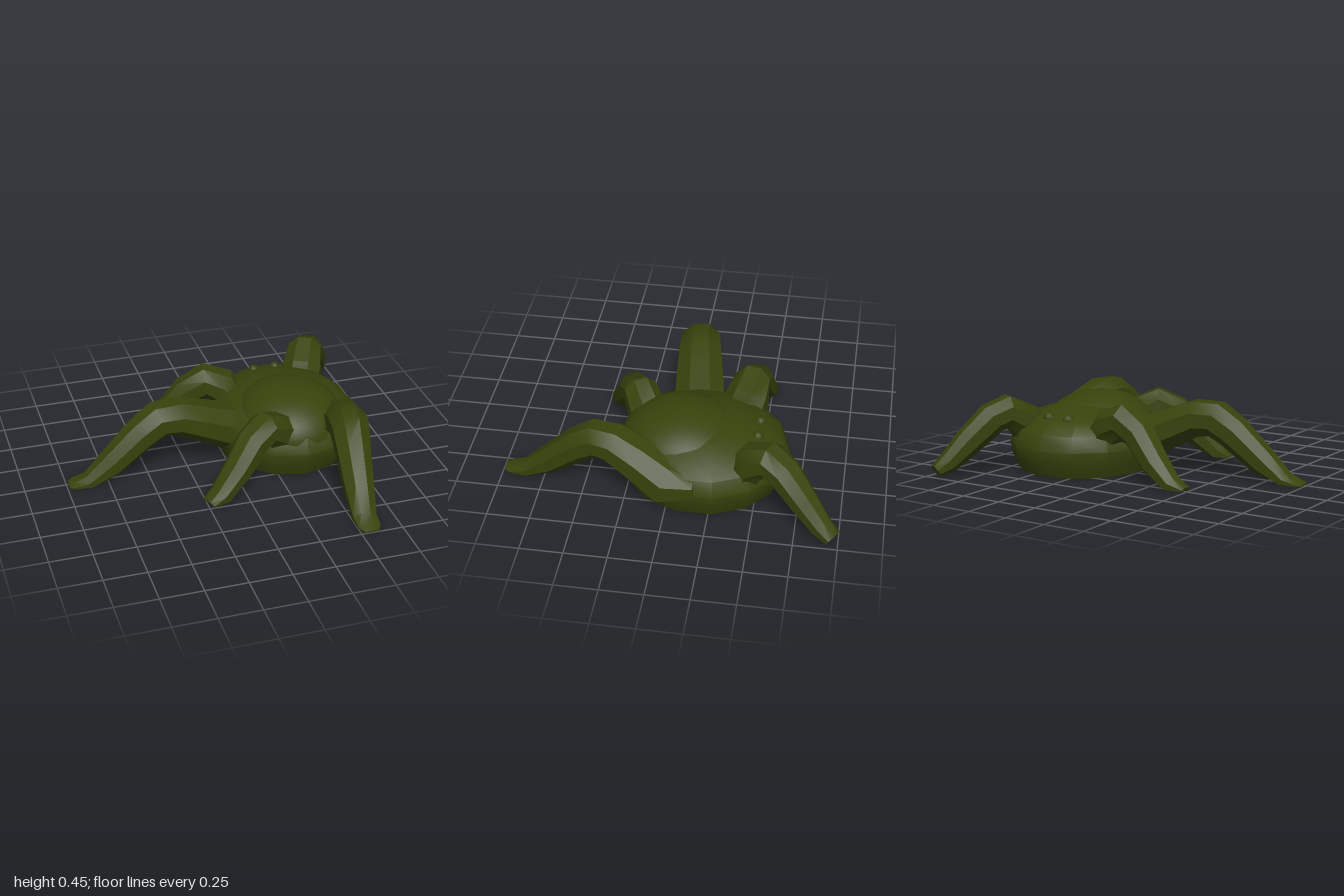
import * as THREE from 'three';
import { toCreasedNormals } from 'three/addons/utils/BufferGeometryUtils.js';

// Lofted limb: stations are [x, y, z, width, height] from foot to root; feet are cut flat at the ground.
function limbGeometry(stations) {
  const n = stations.length, sides = 8, pos = [], idx = [];
  const P = stations.map(s => new THREE.Vector3(s[0], s[1], s[2]));
  const up = new THREE.Vector3(0, 1, 0);
  P.forEach((p, i) => {
    const t = P[Math.min(i + 1, n - 1)].clone().sub(P[Math.max(i - 1, 0)]).normalize();
    const side = new THREE.Vector3().crossVectors(t, up).normalize();
    const normal = new THREE.Vector3().crossVectors(side, t);
    for (let k = 0; k < sides; k++) {
      const a = (k + 0.5) / sides * Math.PI * 2;
      const v = p.clone()
        .addScaledVector(side, Math.cos(a) * stations[i][3] * 0.54)
        .addScaledVector(normal, Math.sin(a) * stations[i][4] * 0.54);
      pos.push(v.x, Math.max(v.y, 0), v.z);
    }
  });
  for (let i = 0; i < n - 1; i++) {
    for (let k = 0; k < sides; k++) {
      const a = i * sides + k, b = i * sides + (k + 1) % sides;
      idx.push(a, b, a + sides, b, b + sides, a + sides);
    }
  }
  const last = (n - 1) * sides;
  for (let k = 1; k < sides - 1; k++) {
    idx.push(0, k + 1, k);
    idx.push(last, last + k, last + k + 1);
  }
  const g = new THREE.BufferGeometry();
  g.setAttribute('position', new THREE.Float32BufferAttribute(pos, 3));
  g.setIndex(idx);
  return toCreasedNormals(g, 0.6);
}

export function createModel() {
  const group = new THREE.Group();
  const skin = new THREE.MeshStandardMaterial({ color: 0x37430c, side: THREE.DoubleSide });
  skin.name = 'olive green';

  const add = (name, geometry, x = 0, y = 0, z = 0) => {
    const mesh = new THREE.Mesh(geometry, skin);
    mesh.name = name;
    mesh.position.set(x, y, z);
    group.add(mesh);
  };

  // Lower body with a flat belly
  const profile = [[0, 0], [0.9, 0], [0.97, 0.08], [1, 0.16], [0.93, 0.25], [0.75, 0.32], [0.4, 0.372], [0, 0.39]];
  const hull = new THREE.LatheGeometry(profile.map(p => new THREE.Vector2(...p)), 14);
  hull.scale(0.46, 1, 0.515);
  add('body', toCreasedNormals(hull, 0.6), 0.41, 0, -0.165);

  // Smooth dome on the back
  const dome = new THREE.SphereGeometry(1, 32, 16, 0, Math.PI * 2, 0, Math.PI / 2);
  dome.scale(0.35, 0.24, 0.37);
  add('backDome', dome, 0.41, 0.2, -0.05);

  // Pair of small eyes
  for (const x of [0.33, 0.47]) {
    add('eye', new THREE.SphereGeometry(0.034, 10, 8), x, 0.325, -0.49);
  }

  // Five arched legs
  const legs = {
    rightLeg: [
      [-0.985, 0.0, 0.005, 0.09, 0.02], [-0.95, 0.0, 0.005, 0.13, 0.05], [-0.86, 0.01, 0.005, 0.14, 0.1],
      [-0.72, 0.105, 0.0, 0.17, 0.16], [-0.53, 0.265, -0.02, 0.21, 0.19], [-0.42, 0.337, -0.035, 0.235, 0.205],
      [-0.3, 0.335, -0.045, 0.255, 0.21], [-0.15, 0.27, -0.065, 0.28, 0.23], [0.03, 0.19, -0.09, 0.3, 0.26],
      [0.2, 0.14, -0.1, 0.28, 0.24]],
    backRightLeg: [
      [-0.48, 0.0, -0.475, 0.09, 0.04], [-0.38, 0.02, -0.468, 0.13, 0.11], [-0.26, 0.125, -0.45, 0.16, 0.16],
      [-0.13, 0.28, -0.425, 0.18, 0.185], [-0.02, 0.347, -0.405, 0.21, 0.2], [0.08, 0.305, -0.385, 0.25, 0.21],
      [0.14, 0.21, -0.36, 0.26, 0.2], [0.17, 0.13, -0.34, 0.22, 0.18]],
    frontRightLeg: [
      [-0.24, 0.0, 0.445, 0.11, 0.04], [-0.16, 0.03, 0.415, 0.14, 0.12], [-0.04, 0.15, 0.36, 0.17, 0.16],
      [0.07, 0.285, 0.3, 0.19, 0.185], [0.16, 0.333, 0.25, 0.2, 0.195], [0.26, 0.27, 0.19, 0.22, 0.22],
      [0.34, 0.17, 0.15, 0.22, 0.2], [0.4, 0.12, 0.12, 0.18, 0.14]],
    frontLeftLeg: [
      [0.567, 0.0, 0.995, 0.08, 0.02], [0.567, 0.0, 0.95, 0.13, 0.05], [0.57, 0.01, 0.86, 0.14, 0.1],
      [0.587, 0.105, 0.72, 0.17, 0.16], [0.615, 0.265, 0.53, 0.2, 0.19], [0.635, 0.337, 0.42, 0.22, 0.205],
      [0.655, 0.335, 0.32, 0.24, 0.21], [0.685, 0.255, 0.17, 0.26, 0.24], [0.735, 0.155, 0.0, 0.28, 0.28],
      [0.755, 0.18, -0.18, 0.22, 0.16]],
    backLeftLeg: [
      [0.945, 0.035, -0.97, 0.11, 0.07], [0.905, 0.08, -0.9, 0.13, 0.12], [0.84, 0.195, -0.79, 0.16, 0.16],
      [0.76, 0.32, -0.67, 0.19, 0.18], [0.71, 0.36, -0.59, 0.21, 0.19], [0.66, 0.3, -0.49, 0.24, 0.21],
      [0.63, 0.19, -0.44, 0.24, 0.2], [0.61, 0.11, -0.41, 0.2, 0.16]],
  };
  for (const [name, stations] of Object.entries(legs)) add(name, limbGeometry(stations));

  return group;
}
